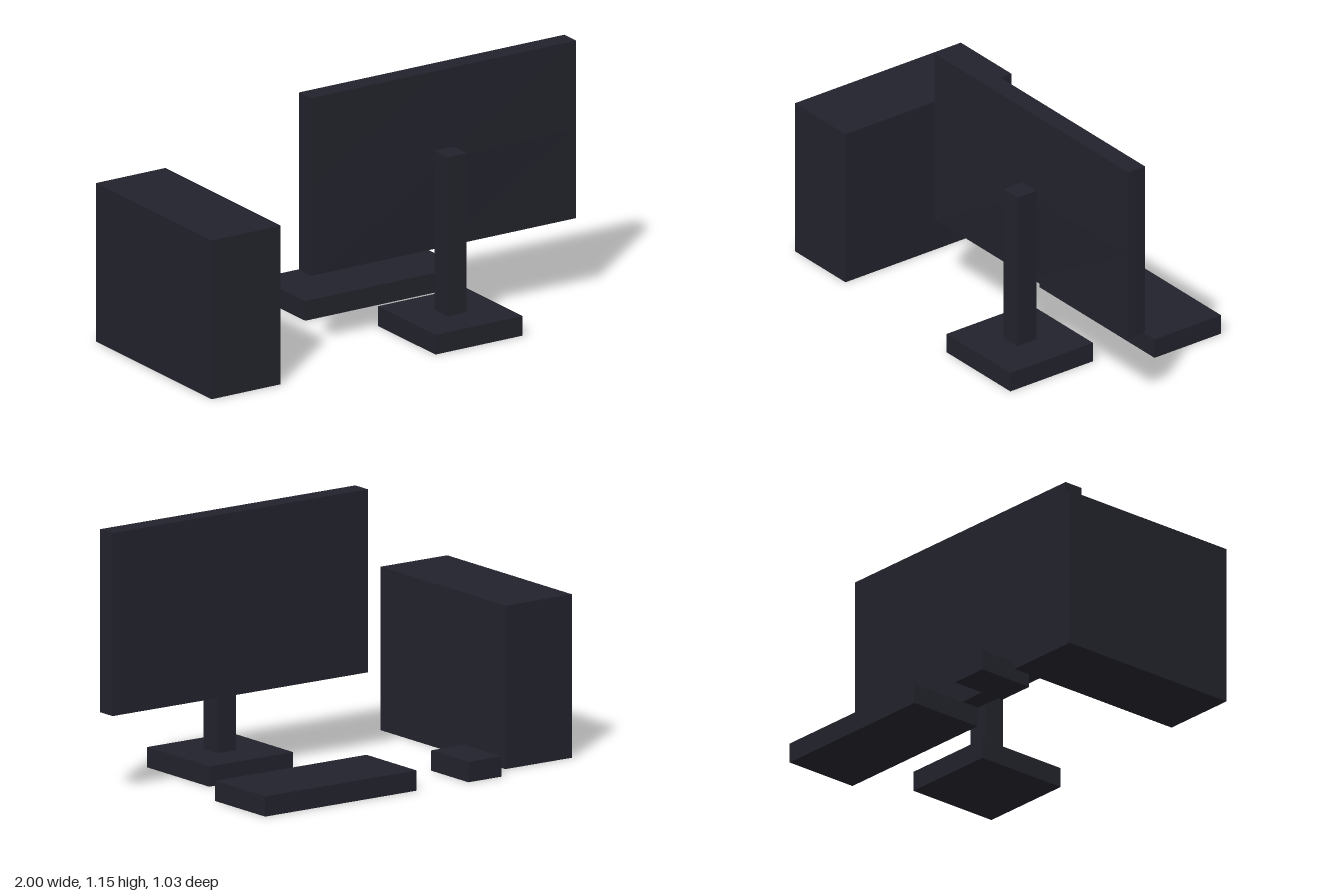
import * as THREE from 'three';

export function createModel() {
  const model = new THREE.Group();
  model.name = 'desktopComputer';
  const charcoal = new THREE.MeshStandardMaterial({ color: 0x22222c, flatShading: true });
  charcoal.name = 'charcoal';

  // Box from its x, y and z ranges
  function box(name, [x0, x1], [y0, y1], [z0, z1], segments = 1) {
    const geometry = new THREE.BoxGeometry(x1 - x0, y1 - y0, z1 - z0, segments, segments, 1);
    const mesh = new THREE.Mesh(geometry, charcoal);
    mesh.position.set((x0 + x1) / 2, (y0 + y1) / 2, (z0 + z1) / 2);
    mesh.name = name;
    model.add(mesh);
    return mesh;
  }

  box('towerCase', [-1, -0.65], [0, 0.71], [-0.415, 0.47]);
  box('mouse', [-0.556, -0.382], [0, 0.088], [-0.515, -0.25]);
  box('keyboard', [-0.115, 0.681], [0, 0.088], [-0.507, -0.152]);
  box('standBase', [0.105, 0.546], [0, 0.088], [0.072, 0.513]);
  box('standPole', [0.279, 0.375], [0.088, 0.8], [0.243, 0.343]);

  // Monitor: the rear panel rises slightly to its middle, where it meets the pole
  const monitor = box('monitor', [-0.342, 1], [0.357, 1.152], [0.145, 0.234], 2);
  const p = monitor.geometry.attributes.position;
  for (let i = 0; i < p.count; i++) {
    const central = Math.abs(p.getX(i)) < 0.01 && Math.abs(p.getY(i)) < 0.01;
    if (central && p.getZ(i) > 0) p.setZ(i, p.getZ(i) + 0.009);
  }
  monitor.geometry.computeVertexNormals();

  return model;
}
